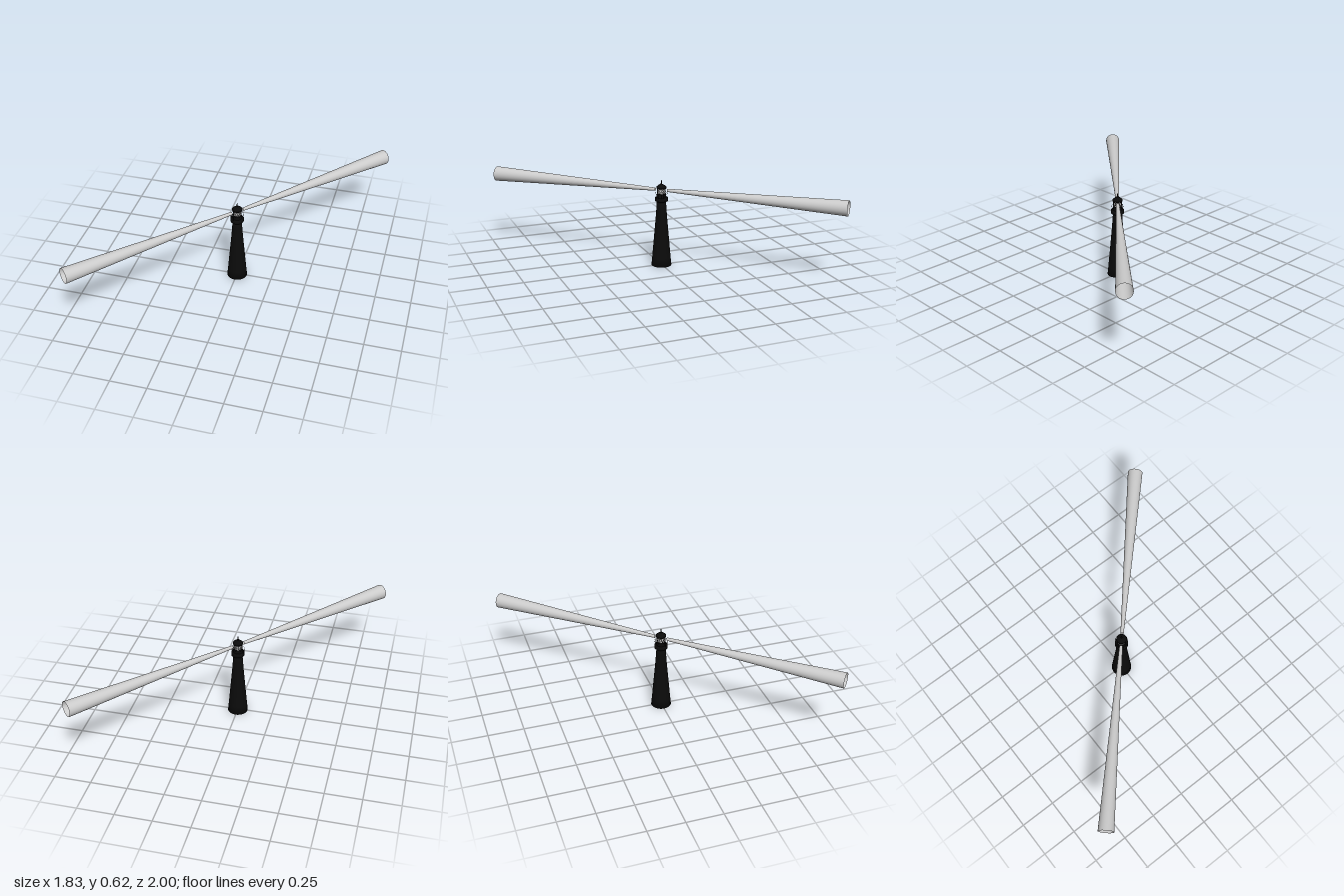
import * as THREE from 'three';

const black = new THREE.MeshStandardMaterial({ color: 0x0b0b0b, side: THREE.DoubleSide });
const grey = new THREE.MeshStandardMaterial({ color: 0xcccccc, side: THREE.DoubleSide });

export function createModel() {
  const model = new THREE.Group();

  function add(name, geometry, material, y = 0, parent = model) {
    const mesh = new THREE.Mesh(geometry, material);
    mesh.name = name;
    mesh.position.y = y;
    parent.add(mesh);
    return mesh;
  }
  const disc = (rTop, rBottom, h, n = 32) => new THREE.CylinderGeometry(rTop, rBottom, h, n);
  const lathe = (points) => new THREE.LatheGeometry(points.map(([r, y]) => new THREE.Vector2(r, y)), 32);

  // Straight round bar between two points
  function bar(name, a, b, r, parent) {
    const mesh = add(name, new THREE.CylinderGeometry(r, r, a.distanceTo(b), 6), black, 0, parent);
    mesh.position.copy(a).lerp(b, 0.5);
    mesh.quaternion.setFromUnitVectors(new THREE.Vector3(0, 1, 0), b.clone().sub(a).normalize());
  }
  const polar = (r, angle, y) => new THREE.Vector3(r * Math.sin(angle), y, r * Math.cos(angle));

  // Tapered tower with a slightly hollow curve
  add('tower', lathe([
    [0, 0], [0.071, 0], [0.065, 0.06], [0.059, 0.13], [0.053, 0.2],
    [0.046, 0.28], [0.04, 0.35], [0.035, 0.42], [0.032, 0.47], [0, 0.47],
  ]), black);

  // Gallery deck and the watch room standing on it
  add('galleryDeck', lathe([
    [0.031, 0.462], [0.037, 0.47], [0.046, 0.472], [0.046, 0.495], [0.03, 0.495],
  ]), black);
  add('watchRoom', disc(0.031, 0.031, 0.04), black, 0.505);

  // Gallery railing
  const railing = new THREE.Group();
  railing.name = 'railing';
  model.add(railing);
  for (let i = 0; i < 16; i++) {
    const a = (i / 16) * Math.PI * 2;
    bar('railPost', polar(0.045, a, 0.494), polar(0.045, a, 0.526), 0.0006, railing);
  }
  const rail = add('handrail', new THREE.TorusGeometry(0.045, 0.0008, 6, 32), black, 0.526, railing);
  rail.rotation.x = Math.PI / 2;

  // Lantern glass with crossing glazing bars
  add('lanternGlass', new THREE.CylinderGeometry(0.028, 0.028, 0.042, 32, 1, true), grey, 0.545);
  const lattice = new THREE.Group();
  lattice.name = 'glazingBars';
  model.add(lattice);
  const count = 12, step = (Math.PI * 2) / count;
  for (let i = 0; i < count; i++) {
    for (const side of [-1, 1]) {
      for (let k = 0; k < 2; k++) {
        const a = (i + side * k * 0.5) * step;
        bar('glazingBar', polar(0.0292, a, 0.525 + k * 0.02),
          polar(0.0292, a + side * step * 0.5, 0.545 + k * 0.02), 0.0012, lattice);
      }
    }
  }

  // Roof, vent ball and finial
  add('roof', lathe([
    [0, 0.562], [0.035, 0.562], [0.035, 0.572], [0.031, 0.575],
    [0.02, 0.585], [0.007, 0.591], [0, 0.592],
  ]), black);
  add('ventBall', new THREE.SphereGeometry(0.006, 16, 12), black, 0.595);
  add('finial', disc(0.003, 0.004, 0.026, 12), black, 0.605);

  // Two opposite light beams, open cones widening outward
  const near = 0.045, far = 1.302;
  const heading = Math.atan2(0.876, -0.963);
  for (const [name, turn] of [['rightRearBeam', 0], ['leftFrontBeam', Math.PI]]) {
    const geometry = new THREE.CylinderGeometry(0.053, 0.011, far - near, 48, 1, true);
    geometry.translate(0, (near + far) / 2, 0);
    geometry.rotateX(Math.PI / 2);
    geometry.rotateY(heading + turn);
    add(turn ? 'frontBeam' : 'rearBeam', geometry, grey, 0.55);
  }

  return model;
}
